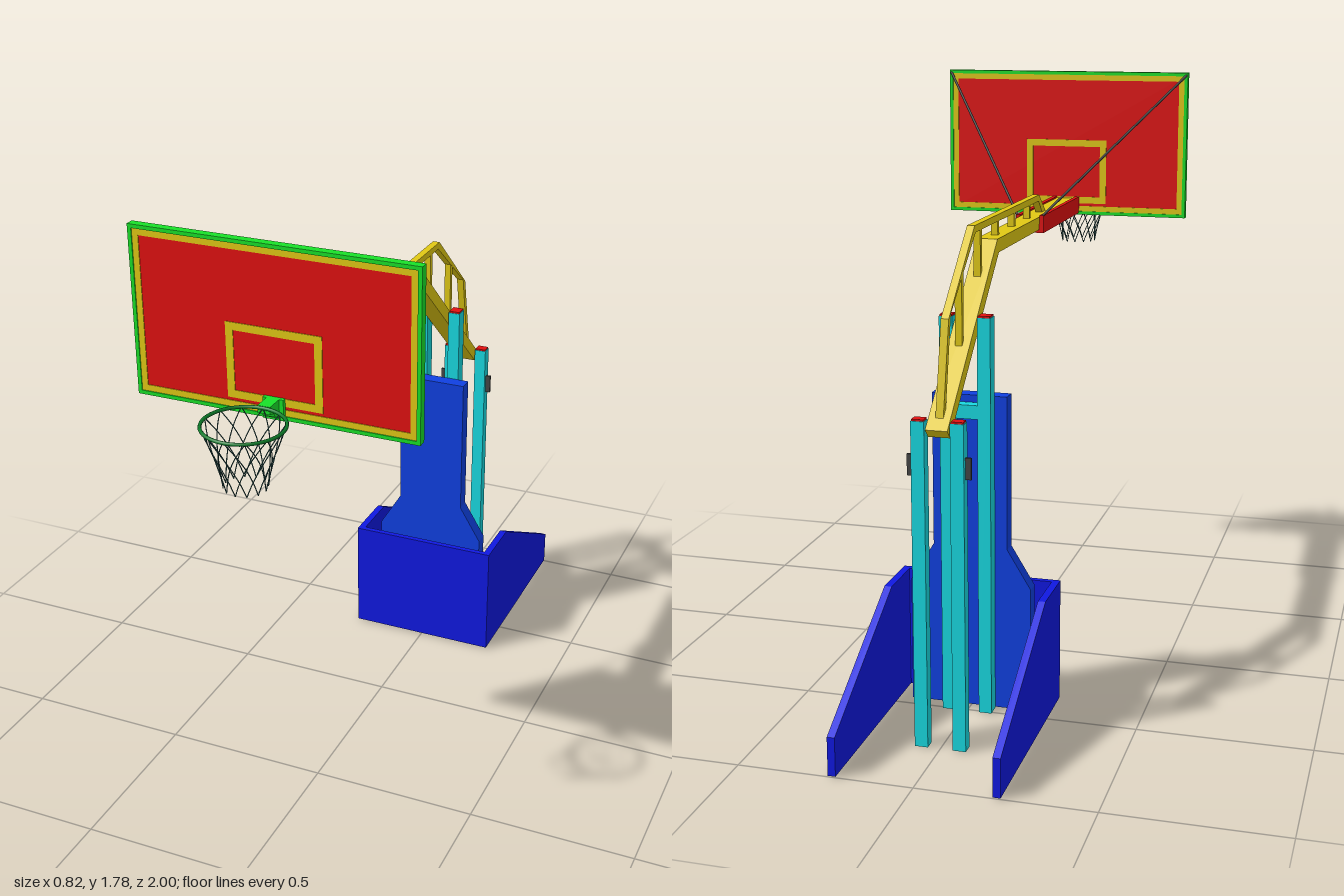
import * as THREE from 'three';
import { mergeGeometries } from 'three/addons/utils/BufferGeometryUtils.js';

const mat = (color) => new THREE.MeshStandardMaterial({ color });

export function createModel() {
  const model = new THREE.Group();
  const navy = mat(0x1018e0), blue = mat(0x1040e0), cyan = mat(0x18d8e0), yellow = mat(0xe0c814);
  const red = mat(0xe01010), green = mat(0x18e028), rimGreen = mat(0x0c7a28);
  const dark = mat(0x444444), cord = mat(0x2c5a58);

  const add = (name, geometry, material, x = 0, y = 0, z = 0) => {
    const mesh = new THREE.Mesh(geometry, material);
    mesh.name = name;
    mesh.position.set(x, y, z);
    model.add(mesh);
    return mesh;
  };
  // box given by its minimum and maximum corners
  const box = (name, material, x0, x1, y0, y1, z0, z1) =>
    add(name, new THREE.BoxGeometry(x1 - x0, y1 - y0, z1 - z0), material,
      (x0 + x1) / 2, (y0 + y1) / 2, (z0 + z1) / 2);
  const shapeOf = (points) => new THREE.Shape(points.map(([a, b]) => new THREE.Vector2(a, b)));
  // side profile of [z, y] points, extruded across x and centred on x
  const sideProfile = (name, points, width, material, x = 0) => {
    const g = new THREE.ExtrudeGeometry(shapeOf(points), { depth: width, bevelEnabled: false });
    g.translate(0, 0, -width / 2).rotateY(-Math.PI / 2);
    return add(name, g, material, x);
  };
  // rectangular ring in the x-y plane
  const frame = (name, material, hw, y0, y1, line, depth, z) => {
    const rect = (w, a, b) => [[-w, a], [w, a], [w, b], [-w, b]];
    const s = shapeOf(rect(hw, y0, y1));
    s.holes.push(shapeOf(rect(hw - line, y0 + line, y1 - line)));
    const g = new THREE.ExtrudeGeometry(s, { depth, bevelEnabled: false });
    return add(name, g, material, 0, 0, z - depth / 2);
  };

  // base: front plate and two sloping side plates, open behind, above and below
  box('baseFront', navy, -0.24, 0.24, 0.003, 0.37, -0.37, -0.352);
  const sidePlate = [[-0.352, 0.003], [-0.352, 0.37], [-0.53, 0.37], [-1, 0.115], [-1, 0.003]];
  for (const s of [-1, 1]) sideProfile('baseSide', sidePlate, 0.022, navy, s * 0.229);

  // upright pad that flares towards the base
  const pad = shapeOf([[-0.18, 0.003], [0.18, 0.003], [0.18, 0.375], [0.11, 0.49], [0.11, 0.94],
    [-0.11, 0.94], [-0.11, 0.49], [-0.18, 0.375]]);
  add('pad', new THREE.ExtrudeGeometry(pad, { depth: 0.045, bevelEnabled: false }), blue, 0, 0, -0.465);

  // posts with caps
  for (const s of [-1, 1]) {
    for (const [name, z, top, d] of [['frontPost', -0.487, 1.17, 0.042], ['rearPost', -0.747, 0.935, 0.034]]) {
      const x = s * 0.055;
      box(name, cyan, x - 0.019, x + 0.019, 0, top, z - d / 2, z + d / 2);
      box(name + 'Cap', red, x - 0.017, x + 0.017, top, top + 0.005, z - d / 2 + 0.002, z + d / 2 - 0.002);
    }
    box('postPlate', dark, s * 0.082 - 0.008, s * 0.082 + 0.008, 0.78, 0.84, -0.75, -0.742);
  }
  box('postCrossbar', cyan, -0.04, 0.04, 0.88, 0.92, -0.505, -0.47);

  // arm: main beam, upper chord and struts
  sideProfile('armBeam', [[0.686, 1.315], [0.686, 1.355], [-0.28, 1.355], [-0.77, 0.915],
    [-0.745, 0.89], [-0.265, 1.315]], 0.062, yellow);
  sideProfile('armChord', [[0.365, 1.35], [0.275, 1.415], [-0.44, 1.415], [-0.685, 1.2], [-0.745, 0.92],
    [-0.725, 0.92], [-0.665, 1.21], [-0.43, 1.395], [0.27, 1.395], [0.32, 1.35]], 0.022, yellow);
  for (const [z, y0, y1] of [[0.165, 1.34, 1.4], [-0.015, 1.34, 1.4], [-0.195, 1.34, 1.4],
    [-0.375, 1.25, 1.4], [-0.555, 1.09, 1.305]])
    box('armStrut', yellow, -0.01, 0.01, y0, y1, z - 0.008, z + 0.008);

  // channel around the front of the beam
  for (const s of [-1, 1]) box('channelSide', red, s * 0.038 - 0.007, s * 0.038 + 0.007, 1.305, 1.36, 0.2, 0.688);
  box('channelFloor', red, -0.031, 0.031, 1.305, 1.315, 0.2, 0.688);

  // backboard with its frame and markings on both faces
  box('backboardPanel', red, -0.4, 0.4, 1.31, 1.77, 0.69, 0.706);
  frame('backboardFrame', green, 0.41, 1.3, 1.78, 0.011, 0.026, 0.698);
  frame('borderLine', yellow, 0.399, 1.311, 1.769, 0.018, 0.02, 0.698);
  frame('targetSquare', yellow, 0.138, 1.338, 1.552, 0.022, 0.02, 0.698);

  // braces from the upper corners back to the channel
  for (const s of [-1, 1]) {
    const path = new THREE.LineCurve3(new THREE.Vector3(s * 0.405, 1.772, 0.688), new THREE.Vector3(s * 0.04, 1.358, 0.203));
    add('brace', new THREE.TubeGeometry(path, 1, 0.004, 8), dark);
  }

  // stepped rim bracket
  sideProfile('rimBracket', [[0.71, 1.31], [0.71, 1.362], [0.772, 1.362], [0.772, 1.34], [0.75, 1.335],
    [0.745, 1.322], [0.728, 1.318], [0.725, 1.31]], 0.036, green);
  box('bracketPlate', green, -0.03, 0.03, 1.302, 1.362, 0.708, 0.72);

  // rim
  const rimY = 1.358, rimZ = 0.885;
  add('rim', new THREE.TorusGeometry(0.11, 0.005, 8, 48).rotateX(Math.PI / 2), rimGreen, 0, rimY, rimZ);

  // net: cords winding both ways between the rim and the narrower lower end
  const cords = [], count = 12;
  for (let i = 0; i < count; i++) {
    for (const dir of [-1, 1]) {
      const points = [];
      for (let k = 0; k <= 6; k++) {
        const t = k / 6;
        const a = (i / count + dir * t * 2 / count) * Math.PI * 2;
        const r = 0.058 + 0.052 * Math.pow(1 - t, 1.4);
        points.push(new THREE.Vector3(Math.cos(a) * r, -0.175 * t, Math.sin(a) * r));
      }
      cords.push(new THREE.TubeGeometry(new THREE.CatmullRomCurve3(points), 12, 0.0015, 5));
    }
  }
  add('net', mergeGeometries(cords), cord, 0, rimY, rimZ);

  return model;
}
